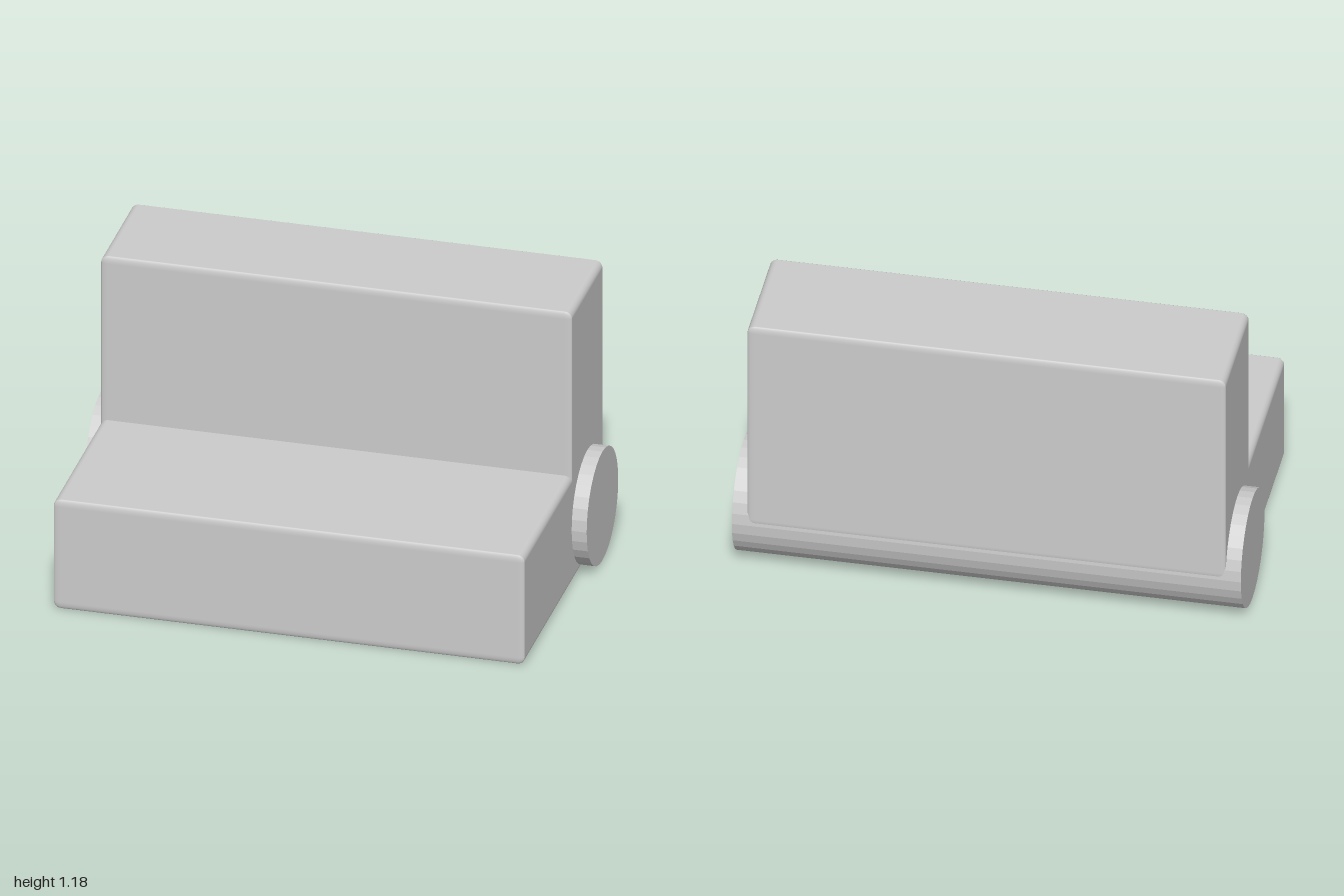
import * as THREE from 'three';
import { RoundedBoxGeometry } from 'three/addons/geometries/RoundedBoxGeometry.js';

const HINGE_R = 0.235, HINGE_Z = -0.353, WIDTH = 1.88;
const EDGE = 0.03, Z_SQUASH = 1 / 3; // edge rounding is shallower along z

export function createModel() {
  const model = new THREE.Group();
  model.name = 'bench';

  const add = (name, geometry, x, y, z, flatShading = false) => {
    const material = new THREE.MeshStandardMaterial({ color: 0xcccccc, flatShading });
    const mesh = new THREE.Mesh(geometry, material);
    mesh.name = name;
    mesh.position.set(x, y, z);
    model.add(mesh);
  };

  // Softly rounded block spanning y0..y1 and z0..z1
  const block = (name, y0, y1, z0, z1) => {
    const geometry = new RoundedBoxGeometry(WIDTH, y1 - y0, (z1 - z0) / Z_SQUASH, 3, EDGE);
    geometry.scale(1, 1, Z_SQUASH);
    add(name, geometry, 0, (y0 + y1) / 2, (z0 + z1) / 2);
  };

  // Seat and backrest both start at the axis of the round corner bar
  block('seat', 0, 2 * HINGE_R, HINGE_Z, 0.588);
  block('backrest', HINGE_R, 1.176, HINGE_Z - HINGE_R, HINGE_Z + HINGE_R);

  // Corner bar, reaching past both ends
  const bar = new THREE.CylinderGeometry(HINGE_R, HINGE_R, 2, 32);
  bar.rotateZ(Math.PI / 2);
  add('cornerBar', bar, 0, HINGE_R, HINGE_Z, true);

  return model;
}
